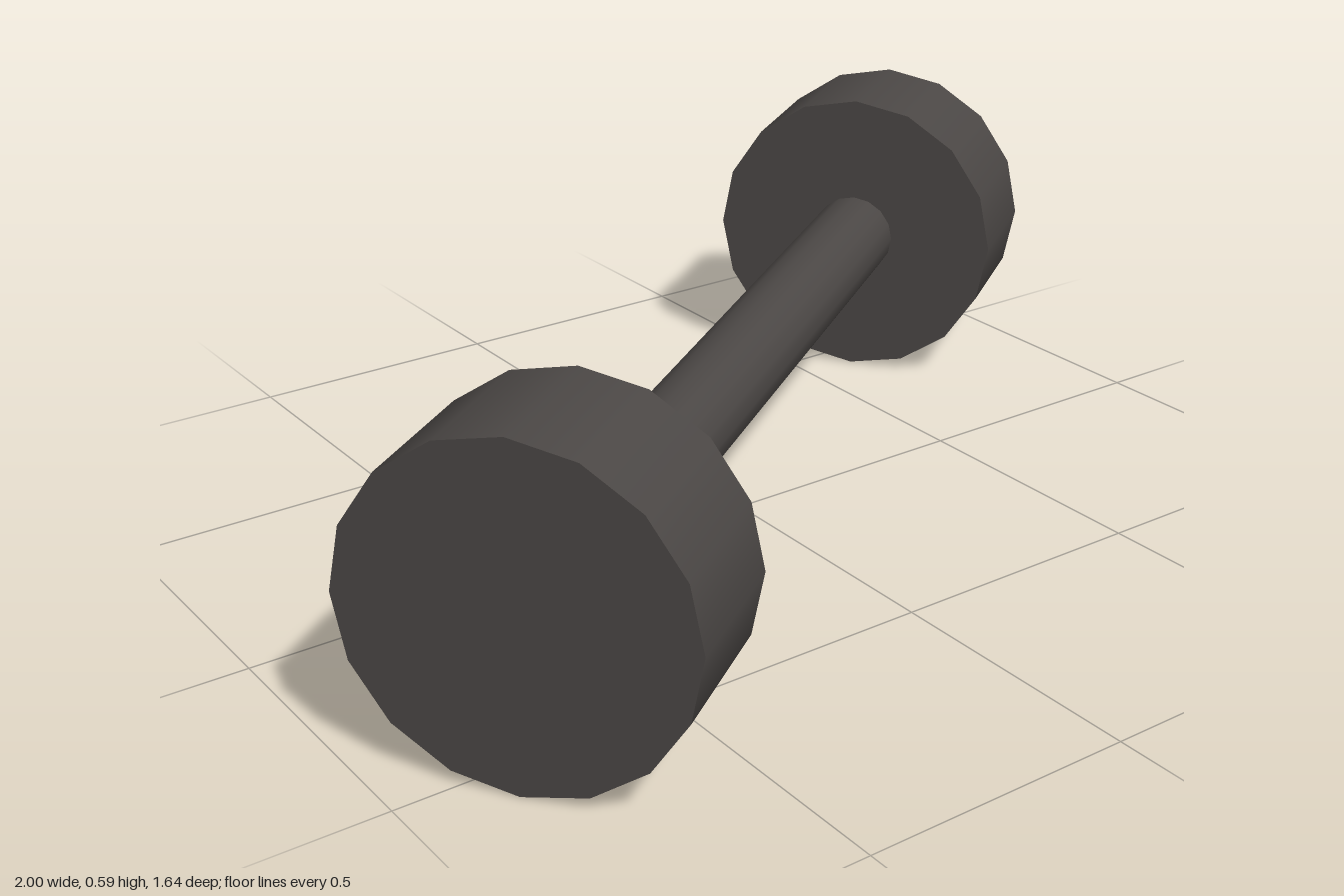
import * as THREE from 'three';

const SIDES = 16;
const CENTER_Y = 0.295;
const WEIGHT_RADIUS = 0.295;
const WEIGHT_THICKNESS = 0.266;
const BAR_RADIUS = 0.084;
const OUTER_END = 1.012;

export function createModel() {
  const model = new THREE.Group();
  model.name = 'dumbbell';
  const darkIron = new THREE.MeshStandardMaterial({ color: 0x4c4846 });
  darkIron.name = 'darkIron';

  // Cylinder lying along x
  const addCylinder = (name, radius, length, x) => {
    const geometry = new THREE.CylinderGeometry(radius, radius, length, SIDES);
    geometry.rotateZ(Math.PI / 2);
    const mesh = new THREE.Mesh(geometry, darkIron);
    mesh.name = name;
    mesh.position.x = x;
    model.add(mesh);
  };

  // Handle bar between the inner faces of the weights
  const innerFace = OUTER_END - WEIGHT_THICKNESS;
  addCylinder('handleBar', BAR_RADIUS, innerFace * 2 + 0.02, 0);

  // One weight at each end
  for (const [name, side] of [['leftWeight', 1], ['rightWeight', -1]]) {
    addCylinder(name, WEIGHT_RADIUS, WEIGHT_THICKNESS, side * (OUTER_END - WEIGHT_THICKNESS / 2));
  }

  // Lies diagonally on the ground, left end towards the back
  model.position.y = CENTER_Y;
  model.rotation.y = THREE.MathUtils.degToRad(35);
  const root = new THREE.Group();
  root.name = 'dumbbellRoot';
  root.add(model);
  return root;
}
